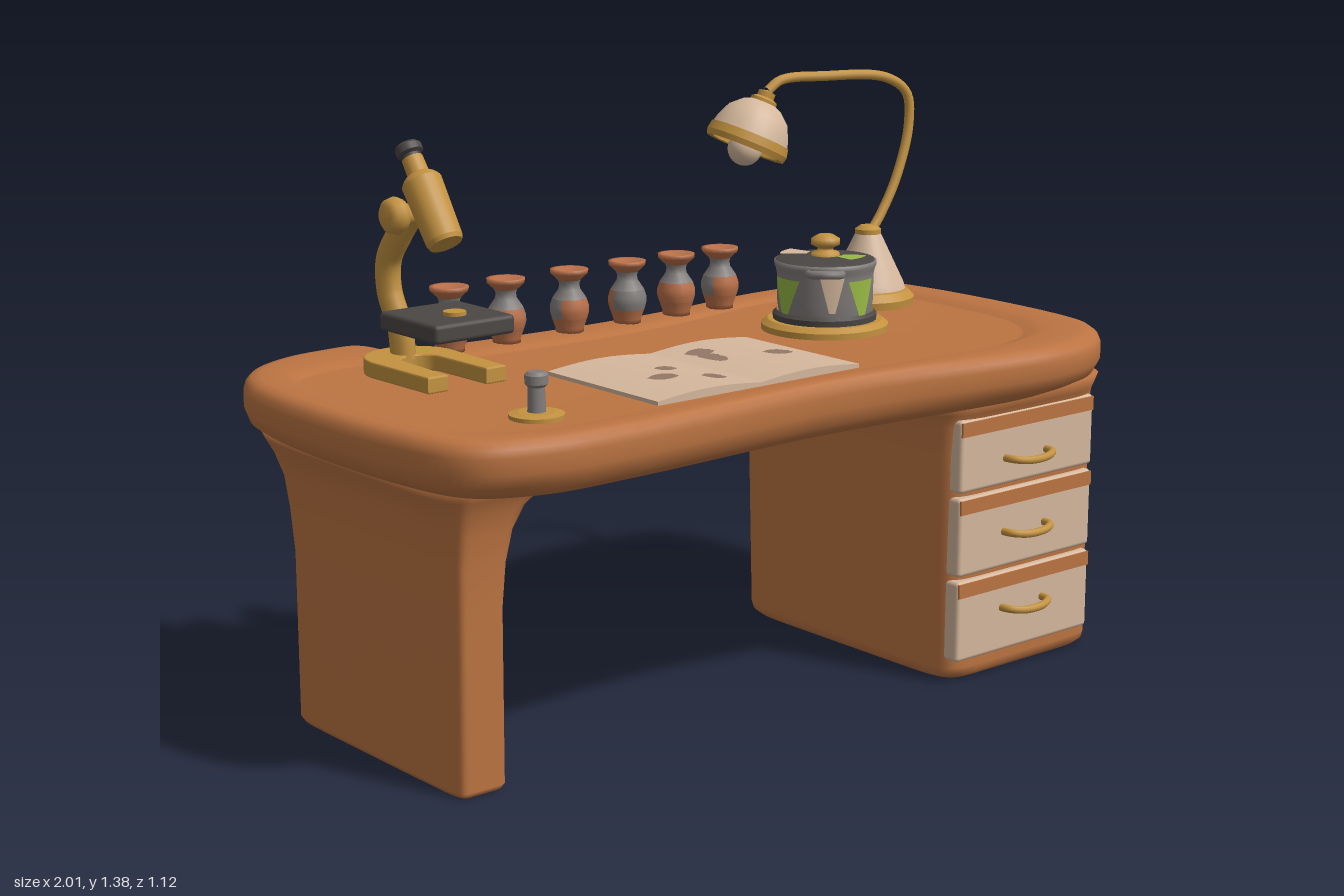
import * as THREE from 'three';
import { RoundedBoxGeometry } from 'three/addons/geometries/RoundedBoxGeometry.js';

const V = (x, y, z) => new THREE.Vector3(x, y, z);
const paint = (name, color, side = THREE.FrontSide) => {
  const m = new THREE.MeshStandardMaterial({ color, side });
  m.name = name;
  return m;
};

export function createModel() {
  const model = new THREE.Group();
  model.name = 'desk';
  const wood = paint('wood', 0xbc7442);
  const cream = paint('cream', 0xd5b89d, THREE.DoubleSide);
  const brass = paint('brass', 0xc39240);
  const charcoal = paint('charcoal', 0x4b4745);
  const steel = paint('steel', 0x827d7b, THREE.DoubleSide);
  const green = paint('green', 0x98b843, THREE.DoubleSide);
  const stain = paint('stain', 0x947867, THREE.DoubleSide);
  const clay = paint('clay', 0xba7049, THREE.DoubleSide);

  const group = (name, x = 0, y = 0, z = 0) => {
    const g = new THREE.Group();
    g.name = name;
    g.position.set(x, y, z);
    model.add(g);
    return g;
  };
  const add = (parent, name, geo, mat, x = 0, y = 0, z = 0) => {
    const m = new THREE.Mesh(geo, mat);
    m.name = name;
    m.position.set(x, y, z);
    parent.add(m);
    return m;
  };
  // profile listed from bottom to top as [radius, y]; sharp keeps the edges crisp
  const lathe = (pts, sharp = false, seg = 28, start = 0, sweep = Math.PI * 2) =>
    new THREE.LatheGeometry(pts.flatMap(p => {
      const v = new THREE.Vector2(p[0], p[1]);
      return sharp ? [v, v.clone()] : [v];
    }), seg, start, sweep);
  const tube = (pts, r, n = 40) =>
    new THREE.TubeGeometry(new THREE.CatmullRomCurve3(pts.map(p => V(...p))), n, r, 10);

  // skin over closed rings listed bottom to top, each clockwise from above
  const loft = rings => {
    const n = rings[0].length, index = [], pos = rings.flat().flatMap(p => [p.x, p.y, p.z]);
    const last = rings.length - 1, c = rings.length * n;
    for (const ring of [rings[0], rings[last]]) {
      const mid = ring.reduce((a, p) => a.add(p), V(0, 0, 0)).divideScalar(n);
      pos.push(mid.x, mid.y, mid.z);
    }
    for (let j = 0; j < n; j++) {
      const k = (j + 1) % n;
      index.push(c, j, k, c + 1, last * n + k, last * n + j);
      for (let i = 0; i < last; i++) {
        const a = i * n + j, b = i * n + k;
        index.push(a, a + n, b, b, a + n, b + n);
      }
    }
    const g = new THREE.BufferGeometry();
    g.setAttribute('position', new THREE.Float32BufferAttribute(pos, 3));
    g.setIndex(index);
    g.computeVertexNormals();
    return g;
  };
  const roundRect = ([y, x0, x1, z0, z1, round = .2]) => Array.from({ length: 64 }, (_, i) => {
    const a = i / 64 * Math.PI * 2;
    const f = v => Math.sign(v) * Math.pow(Math.abs(v) < 1e-9 ? 0 : Math.abs(v), round);
    return V((x0 + x1) / 2 - f(Math.cos(a)) * (x1 - x0) / 2, y,
      (z0 + z1) / 2 - f(Math.sin(a)) * (z1 - z0) / 2);
  });

  // desktop: outer edge and sunken inner edge, paired point by point
  const outer = [[-.987, -.31], [-.905, -.465], [-.77, -.545], [-.66, -.562], [-.565, -.555], [-.55, -.44],
    [-.45, -.42], [0, -.39], [.25, -.4], [.57, -.435], [.78, -.42], [.94, -.37], [.988, -.21], [.99, .28],
    [.95, .42], [.82, .525], [.66, .557], [.41, .53], [.19, .495], [-.02, .485], [-.53, .51], [-.77, .498],
    [-.925, .43], [-.985, .28]];
  const inner = [[-.88, -.24], [-.85, -.33], [-.78, -.36], [-.7, -.37], [-.62, -.36], [-.56, -.33],
    [-.46, -.29], [0, -.26], [.22, -.28], [.5, -.33], [.74, -.32], [.84, -.25], [.87, -.12], [.85, .22],
    [.81, .3], [.74, .37], [.62, .41], [.4, .42], [.19, .41], [-.02, .4], [-.53, .41], [-.74, .4],
    [-.85, .33], [-.88, .22]];
  const smooth = pts => {
    const c = new THREE.CatmullRomCurve3(pts.map(p => V(p[0], 0, p[1])), true);
    return Array.from({ length: 144 }, (_, i) => c.getPoint(i / 144));
  };
  const edgeOut = smooth(outer), edgeIn = smooth(inner);
  const deskProfile = [[1, .66], [.7, .663], [.5, .669], [.3, .682], [.09, .7], [0, .73], [0, .765],
    [.04, .782], [.14, .795], [.3, .8], [.75, .799], [.9, .793], [1, .787], [1.05, .785]];
  add(model, 'desktop', loft(deskProfile.map(([t, y]) =>
    edgeOut.map((p, i) => p.clone().lerp(edgeIn[i], t).setY(y)))), wood);

  // side leg and drawer pedestal: [y, x0, x1, z0, z1, corner softness]
  add(model, 'sideLeg', loft([[0, -.885, -.77, -.32, .315], [.012, -.892, -.763, -.327, .322],
    [.4, -.89, -.763, -.33, .324], [.5, -.892, -.755, -.345, .328], [.57, -.895, -.735, -.37, .335, .25],
    [.62, -.907, -.7, -.405, .345, .3], [.65, -.922, -.655, -.435, .36, .35], [.69, -.945, -.6, -.47, .38, .45]
  ].map(roundRect)), wood);
  add(model, 'pedestal', loft([[0, .435, .92, -.27, .44], [.012, .422, .932, -.285, .453],
    [.03, .418, .935, -.29, .457], [.55, .405, .928, -.292, .457], [.62, .397, .93, -.305, .461, .22],
    [.65, .385, .936, -.32, .472, .27], [.69, .365, .95, -.35, .495, .33]].map(roundRect)), wood);

  // drawers, each with a wooden band along the top and a bowed handle
  [[.053, .25, .162], [.262, .453, .35], [.465, .64, .53]].forEach(([y0, y1, handleY], i) => {
    const d = group('drawer' + (i + 1), .657, 0, .449);
    add(d, 'drawerFront', new RoundedBoxGeometry(.456, y1 - y0, .046, 2, .01), cream, 0, (y0 + y1) / 2);
    add(d, 'drawerBand', new THREE.BoxGeometry(.45, .034, .006), wood, 0, y1 - .022, .022);
    add(d, 'handle', tube([[-.07, 0, .018], [-.064, 0, .048], [-.03, -.004, .064], [.03, -.004, .064],
      [.064, 0, .048], [.07, 0, .018]], .0095), brass, -.008, handleY);
  });

  // open book with curved pages and blotches
  const book = group('book', -.1, .783, .175);
  const pageY = x => .011 + .01 * Math.sin(Math.PI * Math.min(1, Math.abs(x) / .295));
  const page = new THREE.Shape();
  page.moveTo(-.295, 0).lineTo(.295, 0);
  for (let i = 24; i >= -24; i--) page.lineTo(i / 24 * .295, pageY(i / 24 * .295));
  add(book, 'pages', new THREE.ExtrudeGeometry(page, { depth: .39, bevelEnabled: false }), cream, 0, 0, -.195);
  [[.07, -.1, .034, .03], [.062, -.045, .022, .05], [-.165, .055, .036, .026], [-.105, -.01, .026, .022],
    [-.065, .11, .024, .03], [.21, .015, .036, .028]].forEach(([x, z, rx, rz]) => {
    const g = new THREE.CircleGeometry(1, 12).rotateX(-Math.PI / 2), p = g.attributes.position;
    for (let i = 0; i < p.count; i++) {
      const px = x + p.getX(i) * rx * (1 + .15 * Math.sin(i * 2.3));
      p.setXYZ(i, px, pageY(px) + .003, z + p.getZ(i) * rz);
    }
    add(book, 'blotch', g, stain);
  });

  // small stamp standing on a round foot
  const stamp = group('stamp', -.655, .783, .287);
  add(stamp, 'foot', lathe([[0, 0], [.06, 0], [.06, .011], [.04, .015], [0, .015]], true), brass);
  add(stamp, 'post', lathe([[.02, .008], [.018, .068], [.025, .075], [.025, .094], [.018, .101], [0, .101]], true, 20), steel);

  // row of little vases
  const vaseParts = [['foot', [[0, 0], [.034, 0], [.034, .01], [.043, .035]]],
    ['neck', [[.041, .083], [.026, .105], [.024, .118], [.028, .127]]],
    ['rim', [[.028, .127], [.045, .143], [.046, .153], [.036, .153], [.02, .147], [0, .145]]]];
  const belly = [[.043, .035], [.047, .05], [.047, .065], [.041, .083]];
  [-.447, -.286, -.099, .078, .233, .375].forEach((x, i) => {
    const v = group('vase' + (i + 1), x, .798, -.325);
    for (const [name, pts] of vaseParts) add(v, name, lathe(pts, false, 16), name === 'neck' ? steel : clay);
    add(v, 'belly', lathe(belly, false, 12, 0, Math.PI * 1.2), clay);
    add(v, 'bellyPatch', lathe(belly, false, 8, Math.PI * 1.2, Math.PI * .8), steel);
    v.rotation.y = i * 2.1 + 1;
  });

  // cooking pot on a trivet
  const pot = group('pot', .443, 0, -.012);
  add(pot, 'trivet', lathe([[0, .785], [.155, .785], [.155, .8], [.14, .811], [0, .811]], true), brass);
  add(pot, 'potBase', lathe([[.1, .808], [.126, .81], [.127, .825], [.118, .833]], true), charcoal);
  add(pot, 'potBody', lathe([[.112, .825], [.117, .86], [.117, .92], [.12, .935], [.124, .945], [.124, .955], [.115, .957]], false, 32), steel);
  add(pot, 'lid', lathe([[.122, .954], [.118, .958], [.08, .962], [.04, .965], [0, .966]], false, 32), charcoal);
  add(pot, 'knob', lathe([[.036, .963], [.034, .972], [.018, .978], [.02, .984], [.036, .992], [.035, 1.006], [.018, 1.016], [0, 1.017]], false, 20), brass);
  const splash = (a0, half) => {
    const g = new THREE.CylinderGeometry(.12, .12, .085, 8, 4, true, -half, half * 2), p = g.attributes.position;
    for (let i = 0; i < p.count; i++) {
      const y = p.getY(i), r = Math.hypot(p.getX(i), p.getZ(i));
      const a = Math.atan2(p.getX(i), p.getZ(i)) * (.25 + .75 * (y + .0425) / .085) + a0;
      p.setXYZ(i, r * Math.sin(a), y, r * Math.cos(a));
    }
    g.computeVertexNormals();
    return g;
  };
  for (const [a, half] of [[.1, .36], [1.5, .45], [3.3, .4], [4.6, .4]])
    add(pot, 'greenSplash', splash(a, half), green, 0, .875);
  add(pot, 'creamSplash', splash(-.6, .25), cream, 0, .885);
  add(pot, 'lidSplash', new THREE.RingGeometry(.045, .1, 8, 1, 4.6, .8).rotateX(-Math.PI / 2), green, 0, .968);
  add(pot, 'lidPatch', new THREE.RingGeometry(.045, .11, 8, 1, 1.7, .7).rotateX(-Math.PI / 2), cream, 0, .968);
  add(pot, 'potHandle', tube([[-.04, 0, .1], [-.034, .004, .14], [0, .006, .155], [.034, .004, .14], [.04, 0, .1]], .01),
    steel, 0, .937).rotation.y = -.75;

  // desk lamp
  const lamp = group('lamp');
  add(lamp, 'lampFoot', lathe([[0, .787], [.128, .787], [.13, .806], [.112, .824], [0, .824]], true, 32), brass, .738, 0, -.185);
  add(lamp, 'lampCone', lathe([[.098, .82], [.092, .84], [.032, .965], [.026, .972]], false, 28), cream, .752, 0, -.185);
  add(lamp, 'lampCollar', lathe([[.033, .962], [.033, .975], [.02, .984], [0, .986]], true, 20), brass, .752, 0, -.185);
  add(lamp, 'gooseneck', tube([[.755, .96, -.185], [.79, 1.0, -.185], [.85, 1.1, -.185], [.895, 1.23, -.19], [.89, 1.31, -.195],
    [.83, 1.352, -.21], [.65, 1.364, -.25], [.53, 1.36, -.275], [.49, 1.335, -.28]], .0125, 64), brass);
  const head = group('lampHead', .435, 1.205, -.295);
  head.quaternion.setFromUnitVectors(V(0, 1, 0), V(.4, .91, .1).normalize());
  add(head, 'shade', lathe([[.102, .015], [.094, .045], [.078, .08], [.05, .105], [.025, .116]], false, 28), cream);
  add(head, 'shadeRim', lathe([[.086, -.008], [.102, -.01], [.106, .004], [.102, .026], [.092, .026], [.086, -.008]], true, 28), brass);
  add(head, 'socket', lathe([[.034, .105], [.034, .12], [.022, .126], [.022, .14], [0, .145]], true, 18), brass);
  add(head, 'bulb', new THREE.SphereGeometry(.043, 18, 14), cream, 0, -.01);

  // microscope: horseshoe foot, curved arm, stage and slanted barrel
  const scope = group('microscope', -.61, 0, 0);
  const shoe = new THREE.Shape();
  shoe.moveTo(-.1, .03).lineTo(-.105, .24).absarc(0, .24, .105, Math.PI, 0, true)
    .lineTo(.1, .03).lineTo(.055, .03).lineTo(.05, .2).absarc(0, .2, .05, 0, Math.PI).lineTo(-.055, .03);
  const foot = new THREE.ExtrudeGeometry(shoe, { depth: .03, bevelSize: .004, bevelThickness: .004, bevelSegments: 2 });
  add(scope, 'horseshoeFoot', foot.rotateX(-Math.PI / 2), brass, 0, .79);
  const arm = add(scope, 'arm', tube([[0, .81, -.275], [0, .88, -.285], [0, .96, -.325], [0, 1.03, -.325], [0, 1.1, -.275],
    [0, 1.16, -.22]], .035), brass);
  arm.scale.x = .75;
  add(scope, 'stage', new RoundedBoxGeometry(.212, .043, .222, 2, .01), charcoal, 0, .922, -.1);
  add(scope, 'stageBracket', new THREE.BoxGeometry(.05, .03, .14), brass, 0, .9, -.24);
  add(scope, 'specimenDisc', new THREE.CylinderGeometry(.026, .026, .01, 16), brass, 0, .947, -.07);
  add(scope, 'focusKnob', lathe([[0, -.082], [.025, -.08], [.038, -.07], [.043, -.052], [.036, -.036], [.024, -.03], [.024, .03],
    [.036, .036], [.043, .052], [.038, .07], [.025, .08], [0, .082]], false, 18).rotateZ(Math.PI / 2), brass, 0, 1.15, -.215);
  const barrel = group('barrel', -.61, 1.1, -.1);
  barrel.quaternion.setFromUnitVectors(V(0, 1, 0), V(0, .78, -.55).normalize());
  add(barrel, 'barrelTube', lathe([[0, -.005], [.038, -.005], [.042, .005], [.046, .15], [.036, .163], [.025, .17], [.024, .21], [0, .21]], true, 20), brass);
  add(barrel, 'eyepiece', lathe([[.021, .2], [.022, .217], [.031, .222], [.031, .238], [.024, .245], [0, .245]], true, 18), charcoal);
  return model;
}
